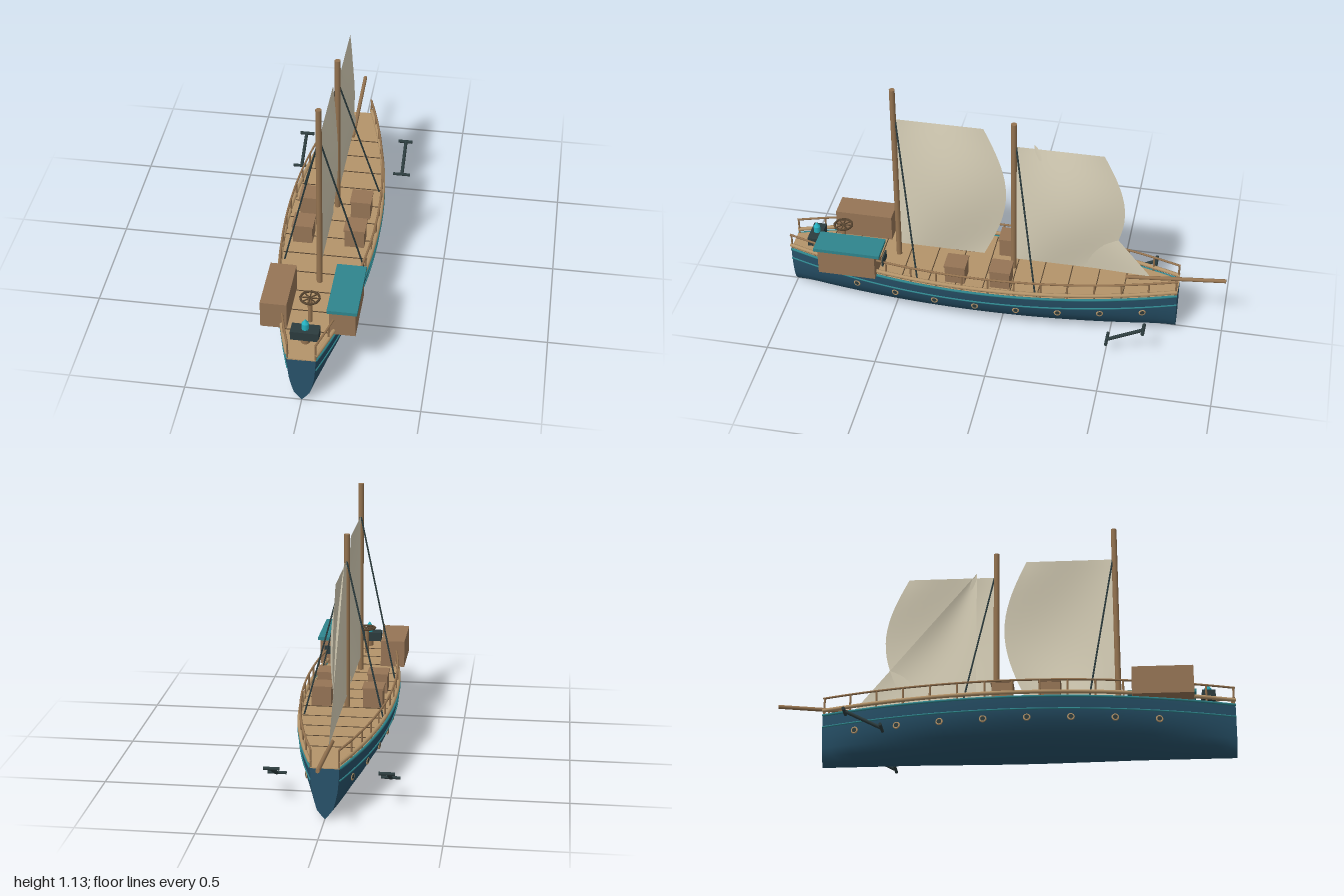
import * as THREE from 'three';

const mat = (name, color, extra = {}) => new THREE.MeshStandardMaterial({ name, color, ...extra });

export function createModel() {
  const root = new THREE.Group();
  root.name = 'sailingShip';
  const M = {
    hull: mat('hullBlue', 0x28536b),
    teal: mat('trimTeal', 0x2f858d),
    deck: mat('deckTan', 0xb4946a),
    wood: mat('sparWood', 0x947350),
    crate: mat('crateBrown', 0x967556),
    sail: mat('sailCanvas', 0xd8d0b8, { side: THREE.DoubleSide }),
    dark: mat('darkIron', 0x2c3c3e),
    seam: mat('seamBrown', 0x55432f),
    glow: mat('lampCyan', 0x25b2c2),
  };
  const add = (name, geo, material, x = 0, y = 0, z = 0, parent = root) => {
    const m = new THREE.Mesh(geo, material);
    m.name = name;
    m.position.set(x, y, z);
    parent.add(m);
    return m;
  };
  const box = (name, material, x0, x1, y0, y1, z0, z1) =>
    add(name, new THREE.BoxGeometry(x1 - x0, y1 - y0, z1 - z0), material,
      (x0 + x1) / 2, (y0 + y1) / 2, (z0 + z1) / 2);
  // Round bar between two points
  const rod = (name, material, a, b, r, sides = 8) => {
    const A = new THREE.Vector3(...a), B = new THREE.Vector3(...b);
    const m = add(name, new THREE.CylinderGeometry(r, r, A.distanceTo(B), sides), material);
    m.position.copy(A).lerp(B, 0.5);
    m.quaternion.setFromUnitVectors(new THREE.Vector3(0, 1, 0), B.clone().sub(A).normalize());
    return m;
  };

  // Hull plan: half width along z
  const BOW = -0.79, STERN = 1, STEPS = 40;
  const halfWidth = z => 0.06 + 0.153 * (1 - ((z - 0.105) / 0.895) ** 2);
  const zAt = i => BOW + (STERN - BOW) * i / STEPS;

  // Hull cross-section, starboard gunwale to keel, then mirrored
  const half = [[1, 0.222], [0.96, 0.17], [0.88, 0.12], [0.72, 0.075], [0.55, 0.04], [0.27, 0.018]];
  const section = [...half, [0, 0], ...half.map(([x, y]) => [-x, y]).reverse()];
  const pos = [], idx = [], n = section.length;
  for (let i = 0; i <= STEPS; i++) {
    const z = zAt(i), w = halfWidth(z);
    for (const [x, y] of section) pos.push(x * w, y, z);
  }
  for (let i = 0; i < STEPS; i++) for (let j = 0; j < n - 1; j++) {
    const a = i * n + j, b = a + n;
    idx.push(a, b, a + 1, b, b + 1, a + 1);
  }
  const hullGeo = new THREE.BufferGeometry();
  hullGeo.setAttribute('position', new THREE.Float32BufferAttribute(pos, 3));
  hullGeo.setIndex(idx);
  hullGeo.computeVertexNormals();
  add('hull', hullGeo, M.hull);
  for (const [name, z, turn] of [['sternTransom', STERN, 0], ['bowTransom', BOW, Math.PI]]) {
    const w = halfWidth(z);
    const s = new THREE.Shape(section.map(([x, y]) => new THREE.Vector2(x * w, y)));
    add(name, new THREE.ShapeGeometry(s), M.hull, 0, 0, z).rotation.y = turn;
  }

  // Deck with plank seams
  const outline = [];
  for (let i = 0; i <= STEPS; i++) outline.push(new THREE.Vector2(halfWidth(zAt(i)), -zAt(i)));
  for (let i = STEPS; i >= 0; i--) outline.push(new THREE.Vector2(-halfWidth(zAt(i)), -zAt(i)));
  const deckGeo = new THREE.ExtrudeGeometry(new THREE.Shape(outline), { depth: 0.006, bevelEnabled: false });
  deckGeo.rotateX(-Math.PI / 2);
  add('deck', deckGeo, M.deck, 0, 0.22, 0);
  for (let i = 0; i < 12; i++) {
    const z = -0.55 + i * 0.125, w = halfWidth(z) * 0.94;
    box('deckSeam', M.seam, -w, w, 0.225, 0.228, z - 0.002, z + 0.002);
  }

  // Trim, railings and portholes on both sides
  const sideTube = (name, material, side, scale, y, r) => {
    const pts = [];
    for (let i = 0; i <= STEPS; i += 2) pts.push(new THREE.Vector3(side * scale * halfWidth(zAt(i)), y, zAt(i)));
    add(name, new THREE.TubeGeometry(new THREE.CatmullRomCurve3(pts), 48, r, 8), material);
  };
  for (const s of [1, -1]) {
    sideTube('gunwaleTrim', M.teal, s, 0.99, 0.222, 0.006);
    sideTube('hullStripe', M.teal, s, 0.965, 0.168, 0.004);
    sideTube('lowerRail', M.deck, s, 0.97, 0.245, 0.009);
    sideTube('upperRail', M.wood, s, 0.95, 0.303, 0.005);
    for (let i = 0; i < 16; i++) {
      const z = BOW + 0.006 + i * (STERN - BOW - 0.012) / 15, x = s * halfWidth(z) * 0.95;
      rod('railPost', M.wood, [x, 0.222, z], [x, 0.303, z], 0.0045, 6);
    }
    for (let i = 0; i < 8; i++) {
      const z = 0.67 - 0.1875 * i;
      const p = new THREE.Group();
      p.name = 'porthole';
      p.position.set(s * halfWidth(z) * 0.91, 0.134, z);
      const slope = Math.atan((halfWidth(z + 0.01) - halfWidth(z - 0.01)) / 0.02);
      p.rotation.y = s * (Math.PI / 2 + slope);
      add('portholeRing', new THREE.TorusGeometry(0.0125, 0.004, 8, 18), M.deck, 0, 0, 0, p);
      add('portholeGlass', new THREE.CircleGeometry(0.0125, 16), M.dark, 0, 0, 0.003, p);
      root.add(p);
    }

    // Anchor: shank with a bar at each end
    rod('anchorShank', M.dark, [s * 0.245, 0.162, -0.665], [s * 0.245, 0.08, -0.505], 0.008);
    rod('anchorStock', M.dark, [s * 0.208, 0.162, -0.665], [s * 0.276, 0.162, -0.665], 0.008);
    rod('anchorCrown', M.dark, [s * 0.203, 0.082, -0.505], [s * 0.285, 0.082, -0.505], 0.007);

    // Shrouds
    rod('aftShroud', M.dark, [0, 0.98, 0.492], [s * 0.175, 0.228, 0.375], 0.004, 6);
    rod('foreShroud', M.dark, [0, 0.9, -0.045], [s * 0.175, 0.228, -0.165], 0.004, 6);

    // Deck crates with lids
    for (const z of [0, 0.205]) {
      const x = s * 0.116;
      box('crate', M.crate, x - 0.044, x + 0.044, 0.224, 0.312, z - 0.045, z + 0.045);
      box('crateLid', M.crate, x - 0.048, x + 0.048, 0.31, 0.319, z - 0.049, z + 0.049);
    }
  }

  // Masts and bowsprit
  rod('aftMast', M.wood, [0, 0.222, 0.5], [0, 1.13, 0.5], 0.013, 12);
  rod('foreMast', M.wood, [0, 0.222, -0.035], [0, 1.02, -0.035], 0.013, 12);
  rod('bowsprit', M.wood, [0, 0.25, -0.55], [0, 0.294, -0.999], 0.009, 10);

  // Sails: grids bulging to +x between a luff and a leech curve, each giving [z, y]
  const lerp = THREE.MathUtils.lerp;
  const sail = (name, luff, leech, bulge) => {
    const g = new THREE.PlaneGeometry(1, 1, 14, 18), p = g.attributes.position;
    for (let i = 0; i < p.count; i++) {
      const u = p.getX(i) + 0.5, v = p.getY(i) + 0.5, a = luff(v), b = leech(v);
      p.setXYZ(i, bulge * Math.sin(Math.PI * u) * Math.sin(Math.PI * v),
        lerp(a[1], b[1], u), lerp(a[0], b[0], u));
    }
    g.computeVertexNormals();
    add(name, g, M.sail);
  };
  const squareSail = (name, z, y0, y1) => sail(name,
    v => [z, lerp(y0, y1, v)],
    v => [z - 0.39 - 0.1 * Math.sin(Math.PI * v), lerp(y0, y1, v)], 0.036);
  squareSail('aftSail', 0.49, 0.288, 0.977);
  squareSail('foreSail', -0.042, 0.278, 0.902);
  sail('jib', v => [-0.125, lerp(0.29, 0.925, v)],
    v => [lerp(-0.66, -0.125, v), lerp(0.268, 0.925, v)], 0.02);

  // Stern lockers, the left one roofed
  box('sternLocker', M.crate, -0.203, -0.09, 0.226, 0.352, 0.557, 0.82);
  box('deckHouse', M.crate, 0.09, 0.202, 0.226, 0.352, 0.565, 0.828);
  box('deckHouseRoof', M.teal, 0.082, 0.21, 0.35, 0.366, 0.54, 0.844);
  box('deckHouseHandle', M.dark, 0.11, 0.178, 0.285, 0.325, 0.53, 0.537);

  // Steering wheel lying on its post
  rod('wheelPost', M.wood, [0, 0.224, 0.76], [0, 0.355, 0.76], 0.01);
  add('wheelRim', new THREE.TorusGeometry(0.04, 0.005, 8, 24), M.seam, 0, 0.354, 0.76).rotation.x = Math.PI / 2;
  for (let i = 0; i < 4; i++) {
    const a = i * Math.PI / 4, c = Math.cos(a) * 0.046, d = Math.sin(a) * 0.046;
    rod('wheelSpoke', M.seam, [-c, 0.354, 0.76 - d], [c, 0.354, 0.76 + d], 0.003, 6);
  }

  // Stern lamp
  rod('lampPost', M.wood, [0, 0.224, 0.888], [0, 0.258, 0.888], 0.02, 12);
  box('lampBase', M.dark, -0.06, 0.06, 0.255, 0.297, 0.86, 0.918);
  add('lampCrystal', new THREE.CylinderGeometry(0.016, 0.016, 0.03, 8), M.glow, 0, 0.311, 0.888);
  add('lampTip', new THREE.ConeGeometry(0.016, 0.022, 8), M.glow, 0, 0.337, 0.888);

  return root;
}
